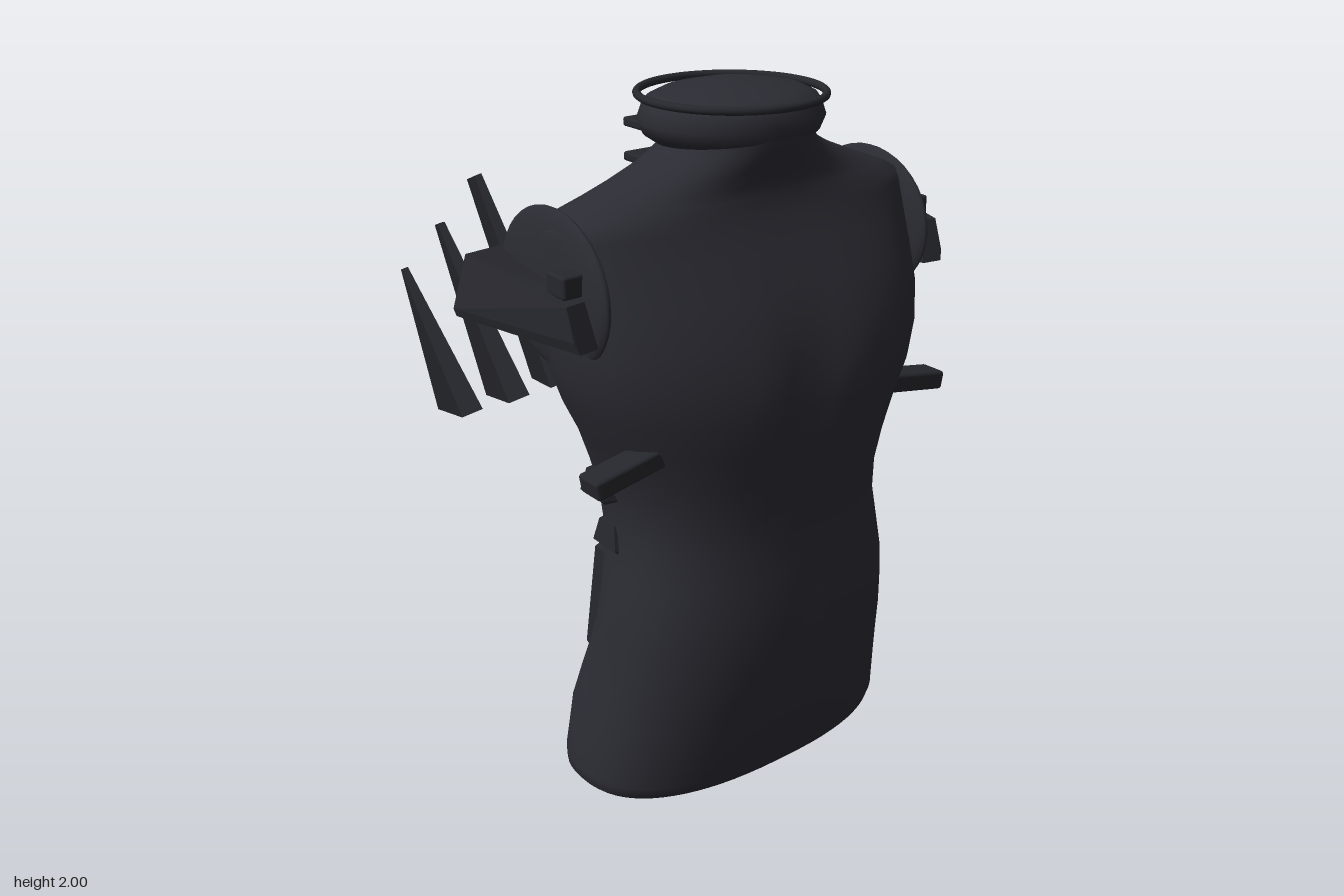
import * as THREE from 'three';
import { ConvexGeometry } from 'three/addons/geometries/ConvexGeometry.js';
import { RoundedBoxGeometry } from 'three/addons/geometries/RoundedBoxGeometry.js';

const skin = new THREE.MeshStandardMaterial({ name: 'charcoal body', color: 0x2b2b33 });
const plate = new THREE.MeshStandardMaterial({ name: 'dark plate', color: 0x26272d });

// Torso rings: height, half width, front z, back z, squareness
const RINGS = [
  [0, 0.515, 0.42, -0.12, 2.4], [0.015, 0.53, 0.435, -0.135, 2.4], [0.05, 0.533, 0.45, -0.14, 2.4],
  [0.2, 0.51, 0.48, -0.14, 2.4], [0.3, 0.49, 0.5, -0.115, 2.4], [0.4, 0.475, 0.515, -0.08, 2.4],
  [0.5, 0.463, 0.52, -0.05, 2.4], [0.6, 0.452, 0.52, -0.035, 2.4], [0.7, 0.435, 0.512, -0.04, 2.4],
  [0.8, 0.42, 0.505, -0.06, 2.4], [0.9, 0.425, 0.508, -0.08, 2.4], [1.0, 0.45, 0.52, -0.1, 2.4],
  [1.1, 0.49, 0.537, -0.11, 2.3], [1.2, 0.54, 0.545, -0.12, 2.3], [1.3, 0.57, 0.533, -0.13, 2.4],
  [1.4, 0.58, 0.5, -0.14, 2.6], [1.5, 0.58, 0.455, -0.138, 2.7], [1.6, 0.583, 0.4, -0.1, 2.7],
  [1.67, 0.582, 0.37, -0.055, 2.5], [1.7, 0.568, 0.36, -0.035, 2.4], [1.73, 0.49, 0.352, -0.02, 2.2],
  [1.76, 0.41, 0.35, -0.008, 2.1], [1.8, 0.31, 0.362, 0, 2], [1.84, 0.23, 0.38, 0, 2], [1.88, 0.2, 0.385, 0, 2],
];
const bump = (v, centre, width) => Math.exp(-(((v - centre) / width) ** 2));

function torsoGeometry(seg = 72) {
  const pos = [], index = [];
  const ring = ([y, hw, front, back, n]) => {
    const mid = (front + back) / 2, depth = (front - back) / 2;
    for (let j = 0; j < seg; j++) {
      const a = (j / seg) * Math.PI * 2, c = Math.cos(a), s = Math.sin(a);
      const x = hw * Math.sign(c) * Math.abs(c) ** (2 / n);
      let z = mid + depth * Math.sign(s) * Math.abs(s) ** (2 / n);
      // Chest notch and navel in front, spine groove and cleft behind
      if (s > 0.3) z -= 0.025 * bump(x, 0, 0.09) * bump(y, 1.25, 0.2) + 0.012 * bump(x, 0, 0.03) * bump(y, 0.57, 0.06);
      if (s < -0.3) z += 0.045 * bump(x, 0, 0.11) * bump(y, 1.25, 0.4) + 0.11 * bump(x, 0, 0.05) * bump(y, 0, 0.25);
      pos.push(x, y, z);
    }
  };
  RINGS.forEach(ring);
  for (let i = 0; i < RINGS.length - 1; i++) {
    for (let j = 0; j < seg; j++) {
      const k = (j + 1) % seg, lo = i * seg, up = lo + seg;
      index.push(lo + j, up + j, lo + k, lo + k, up + j, up + k);
    }
  }
  // Flat underside with its own ring for a crisp edge
  const base = pos.length / 3;
  ring(RINGS[0]);
  const centre = pos.length / 3;
  pos.push(0, 0, 0.15);
  for (let j = 0; j < seg; j++) index.push(centre, base + j, base + ((j + 1) % seg));
  const g = new THREE.BufferGeometry();
  g.setAttribute('position', new THREE.Float32BufferAttribute(pos, 3));
  g.setIndex(index);
  g.computeVertexNormals();
  return g;
}

export function createModel() {
  const model = new THREE.Group();
  model.name = 'armouredTorso';
  const add = (name, geometry, material, x = 0, y = 0, z = 0) => {
    const m = new THREE.Mesh(geometry, material);
    m.name = name;
    m.position.set(x, y, z);
    model.add(m);
    return m;
  };
  // Solid block from its corners, mirrored by side
  const block = (name, side, corners, material = plate) =>
    add(name, new ConvexGeometry(corners.map(([x, y, z]) => new THREE.Vector3(x * side, y, z))), material);

  add('torso', torsoGeometry(), skin);

  // Neck cap and the thin ring around it
  const profile = [[0.17, 1.83], [0.215, 1.847], [0.25, 1.87], [0.265, 1.905], [0.252, 1.94], [0.24, 1.957],
    [0.2, 1.975], [0.1, 1.994], [0, 2]].map(([r, y]) => new THREE.Vector2(r, y));
  add('neckCap', new THREE.LatheGeometry(profile, 48), skin, 0, 0, 0.165).scale.z = 0.86;
  const ring = add('neckRing', new THREE.TorusGeometry(0.25, 0.011, 10, 64), plate, 0, 1.965, 0.163);
  ring.rotation.x = Math.PI / 2;

  // Slats down the nape
  [1.865, 1.77, 1.675].forEach((y) =>
    add('napeSlat', new RoundedBoxGeometry(0.34, 0.026, 0.1, 2, 0.008), plate, 0, y, -0.046));

  // Sloping plate on the lower back
  const backPlate = [];
  for (const s of [-1, 1]) {
    backPlate.push([s * 0.25, 0.593, -0.005], [s * 0.25, 0.593, -0.13], [s * 0.265, 0.575, -0.143],
      [s * 0.29, 0.24, -0.168], [s * 0.275, 0.215, -0.165], [s * 0.275, 0.215, -0.115], [s * 0.29, 0.24, -0.1],
      [s * 0.265, 0.57, 0]);
  }
  block('lowerBackPlate', 1, backPlate);

  // Outer face of each back fin: top front, top rear, bottom rear, bottom front
  const FINS = [
    [[0.705, 1.47, -0.41], [0.635, 1.42, -0.545], [0.6, 1.01, -0.45], [0.705, 1.125, -0.115]],
    [[0.595, 1.585, -0.385], [0.53, 1.54, -0.525], [0.465, 1.037, -0.4], [0.595, 1.16, -0.05]],
    [[0.485, 1.71, -0.36], [0.425, 1.66, -0.51], [0.33, 1.07, -0.36], [0.485, 1.19, -0.01]],
  ];
  const finThickness = [0.02, 0.02, 0.06, 0.06];

  for (const side of [-1, 1]) {
    add('armCap', new THREE.SphereGeometry(1, 32, 20), skin, side * 0.55, 1.525, 0.13).scale.set(0.036, 0.215, 0.245);

    block('shoulderPad', side, [
      [0.74, 1.46, -0.06], [0.735, 1.44, -0.055], [0.64, 1.46, 0.35], [0.63, 1.43, 0.36],
      [0.69, 1.595, -0.07], [0.64, 1.545, 0.32], [0.5, 1.42, -0.12], [0.52, 1.58, -0.13],
      [0.57, 1.43, 0.35], [0.58, 1.545, 0.31],
    ]);
    add('padStud', new RoundedBoxGeometry(0.06, 0.06, 0.08, 2, 0.008), plate, side * 0.6, 1.58, 0.255);

    for (const face of FINS) {
      const inner = face.map(([x, y, z], i) => {
        const t = finThickness[i];
        return [x - 0.887 * t, y + 0.306 * t, z + 0.346 * t];
      });
      block('backFin', side, [...face, ...inner]);
    }

    const bar = add('ribBar', new RoundedBoxGeometry(0.23, 0.055, 0.085, 2, 0.01), plate, side * 0.51, 1.092, 0.367);
    bar.rotation.z = -side * 0.18;

    // Small wedge studs on the flank: height, outer x
    for (const [y, x] of [[0.955, 0.475], [0.79, 0.437]]) {
      block('flankStud', side, [
        [x - 0.09, y + 0.04, 0.2], [x - 0.09, y + 0.04, 0.115], [x - 0.09, y - 0.04, 0.22], [x - 0.09, y - 0.04, 0.1],
        [x - 0.012, y + 0.038, 0.19], [x - 0.012, y + 0.038, 0.12], [x, y - 0.03, 0.21], [x, y - 0.03, 0.105],
        [x - 0.01, y - 0.04, 0.21], [x - 0.01, y - 0.04, 0.105],
      ]);
    }
  }
  return model;
}
